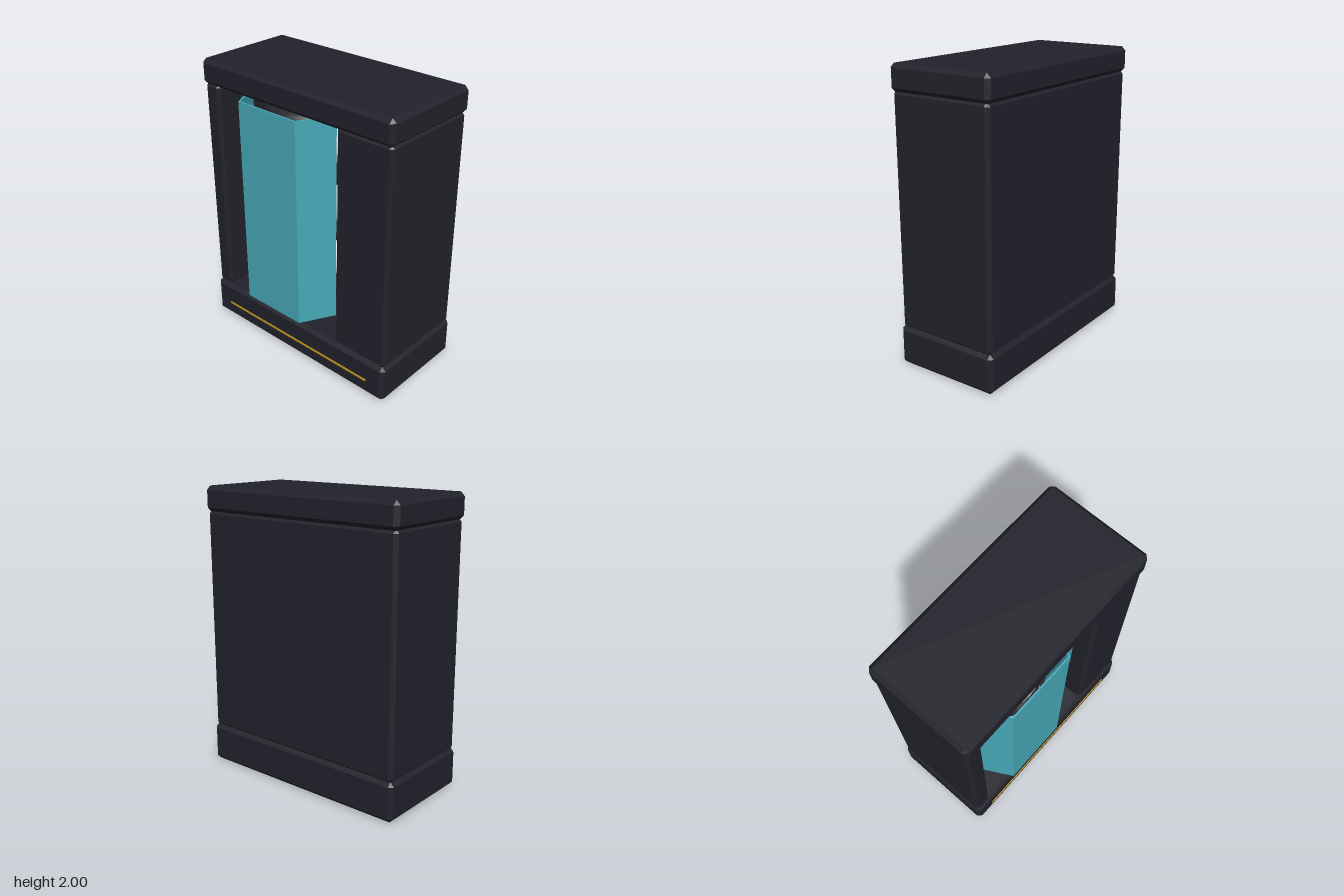
import * as THREE from 'three';
import { ConvexGeometry } from 'three/addons/geometries/ConvexGeometry.js';

const material = (name, color) => {
  const m = new THREE.MeshStandardMaterial({ color });
  m.name = name;
  return m;
};

// Box with flat chamfered edges, given by its extents
function chamferBox(x0, x1, y0, y1, z0, z1, c) {
  const half = [(x1 - x0) / 2, (y1 - y0) / 2, (z1 - z0) / 2];
  const points = [];
  for (const sx of [-1, 1]) for (const sy of [-1, 1]) for (const sz of [-1, 1]) {
    for (let face = 0; face < 3; face++) {
      const [x, y, z] = half.map((h, axis) => (axis === face ? h : h - c));
      points.push(new THREE.Vector3(sx * x, sy * y, sz * z));
    }
  }
  const geometry = new ConvexGeometry(points);
  geometry.translate((x0 + x1) / 2, (y0 + y1) / 2, (z0 + z1) / 2);
  return geometry;
}

export function createModel() {
  const model = new THREE.Group();
  model.name = 'displayCabinet';

  const dark = material('darkCabinet', 0x22222c);
  const teal = material('tealGlass', 0x47a9b8);
  const gold = material('goldTrim', 0xb8901a);
  const white = material('whiteCore', 0xe2e4e8);
  const black = material('blackRing', 0x25272c);

  const add = (name, geometry, mat, parent = model) => {
    const mesh = new THREE.Mesh(geometry, mat);
    mesh.name = name;
    parent.add(mesh);
    return mesh;
  };

  // Cabinet shell
  add('plinth', chamferBox(-0.8, 0.8, 0, 0.275, -0.385, 0.37, 0.028), dark);
  add('lid', chamferBox(-0.8, 0.8, 1.825, 2, -0.385, 0.37, 0.028), dark);
  add('backPanel', chamferBox(-0.79, 0.79, 0.265, 1.835, -0.375, -0.31, 0.025), dark);
  add('rightPost', chamferBox(-0.79, -0.66, 0.265, 1.835, -0.37, 0.355, 0.022), dark);
  add('leftColumn', chamferBox(0.37, 0.79, 0.265, 1.835, -0.37, 0.355, 0.022), dark);

  // Trim strip and the small screen on the inner side of the column
  const trim = add('trimStrip', new THREE.BoxGeometry(1.32, 0.012, 0.01), gold);
  trim.position.set(0, 0.117, 0.373);
  const screen = add('innerScreen', new THREE.BoxGeometry(0.006, 0.31, 0.2), teal);
  screen.position.set(0.369, 0.98, 0.12);

  // Rotor behind the glass
  const rotor = new THREE.Group();
  rotor.name = 'rotor';
  rotor.position.x = -0.18;
  model.add(rotor);
  const shaft = add('shaft', new THREE.CylinderGeometry(0.045, 0.045, 1.56, 24), white, rotor);
  shaft.position.y = 1.05;

  const drumProfile = [[0, -0.15], [0.2, -0.15], [0.27, -0.11], [0.3, -0.04],
    [0.3, 0.04], [0.27, 0.11], [0.2, 0.15], [0, 0.15]].map(([r, y]) => new THREE.Vector2(r, y));
  const drumGeometry = new THREE.LatheGeometry(drumProfile, 32);
  const ringGeometry = new THREE.TorusGeometry(0.24, 0.06, 12, 32).rotateX(Math.PI / 2);
  for (let i = 0; i < 4; i++) {
    const y = 0.43 + i * 0.43;
    add('ring', ringGeometry, black, rotor).position.y = y;
    if (i < 3) add('drum', drumGeometry, white, rotor).position.y = y + 0.215;
  }

  // Three-sided glass front, folded at 60 degrees
  const outer = [[-0.38, 0.15], [-0.25, 0.387], [0.25, 0.387], [0.38, 0.15]];
  const inner = [[0.366, 0.15], [0.243, 0.375], [-0.243, 0.375], [-0.366, 0.15]];
  const outline = new THREE.Shape([...outer, ...inner].map(([x, z]) => new THREE.Vector2(x, -z)));
  const glass = new THREE.ExtrudeGeometry(outline, { depth: 1.5, bevelEnabled: false });
  glass.rotateX(-Math.PI / 2);
  add('glassFront', glass, teal).position.set(-0.18, 0.297, 0);

  return model;
}
